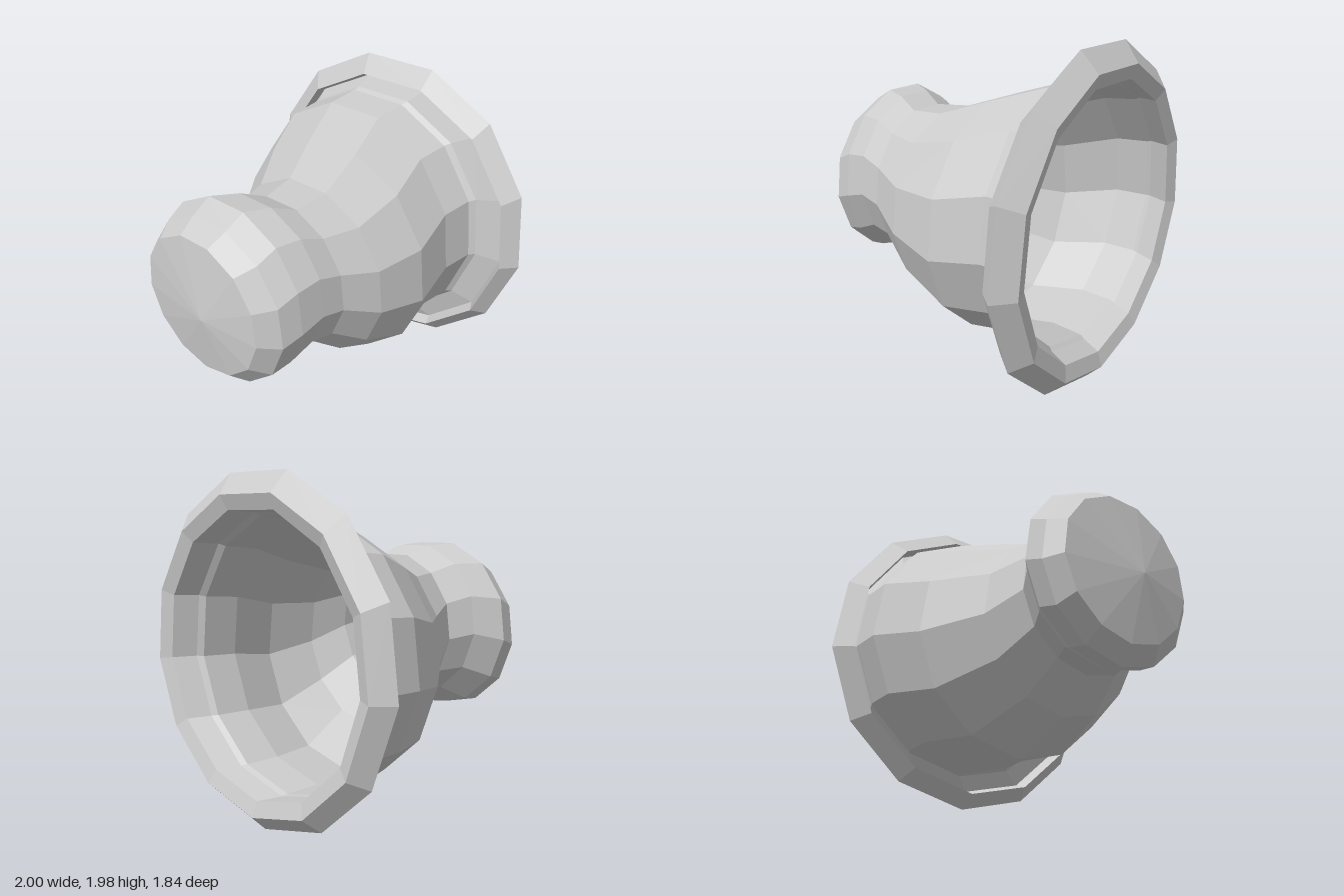
import * as THREE from 'three';

const SIDES = 13;

// Skin a row of 13-sided rings, each [z, centre x, centre y, radius], ordered front to back
function loft(name, rings) {
  const positions = [], index = [];
  for (const [z, cx, cy, r] of rings) {
    for (let j = 0; j < SIDES; j++) {
      const a = (j / SIDES) * Math.PI * 2;
      positions.push(cx + r * Math.sin(a), cy - r * Math.cos(a), z);
    }
  }
  for (let i = 0; i < rings.length - 1; i++) {
    for (let j = 0; j < SIDES; j++) {
      const k = (j + 1) % SIDES;
      const a = i * SIDES + j, b = i * SIDES + k;
      const c = a + SIDES, d = b + SIDES;
      if (rings[i][3] > 0) index.push(a, d, b);
      index.push(a, c, d);
    }
  }
  let geometry = new THREE.BufferGeometry();
  geometry.setAttribute('position', new THREE.Float32BufferAttribute(positions, 3));
  geometry.setIndex(index);
  geometry = geometry.toNonIndexed();
  geometry.computeVertexNormals();
  const material = new THREE.MeshStandardMaterial({
    color: 0xcccccc, flatShading: true, side: THREE.DoubleSide,
  });
  const mesh = new THREE.Mesh(geometry, material);
  mesh.name = name;
  return mesh;
}

export function createModel() {
  const group = new THREE.Group();
  group.name = 'flaredHorn';

  // Where the hollow body meets the rim
  const seam = [-0.76, -0.07, 0.995, 0.8];

  // Rounded knob, narrow neck and widening hollow bell
  group.add(loft('knobAndBell', [
    [0.92, 0, 0.98, 0],
    [0.86, -0.07, 1.005, 0.44],
    [0.76, -0.053, 1.0, 0.525],
    [0.64, -0.045, 1.045, 0.55],
    [0.49, 0.025, 1.082, 0.497],
    [0.345, 0.077, 1.052, 0.467],
    [0.12, 0.073, 0.966, 0.572],
    [-0.2, -0.01, 0.925, 0.725],
    [-0.52, -0.105, 0.981, 0.771],
    [-0.73, -0.088, 0.991, 0.786],
    seam,
  ]));

  // Bevelled rim: front groove, front lip, outer edge, back edge, opening
  group.add(loft('rim', [
    seam,
    [-0.8, 0, 0.996, 0.885],
    [-0.73, 0.013, 0.996, 0.909],
    [-0.825, 0, 1.007, 1.007],
    [-0.92, -0.005, 0.993, 0.898],
    [-0.89, -0.01, 0.995, 0.81],
    seam,
  ]));

  return group;
}
